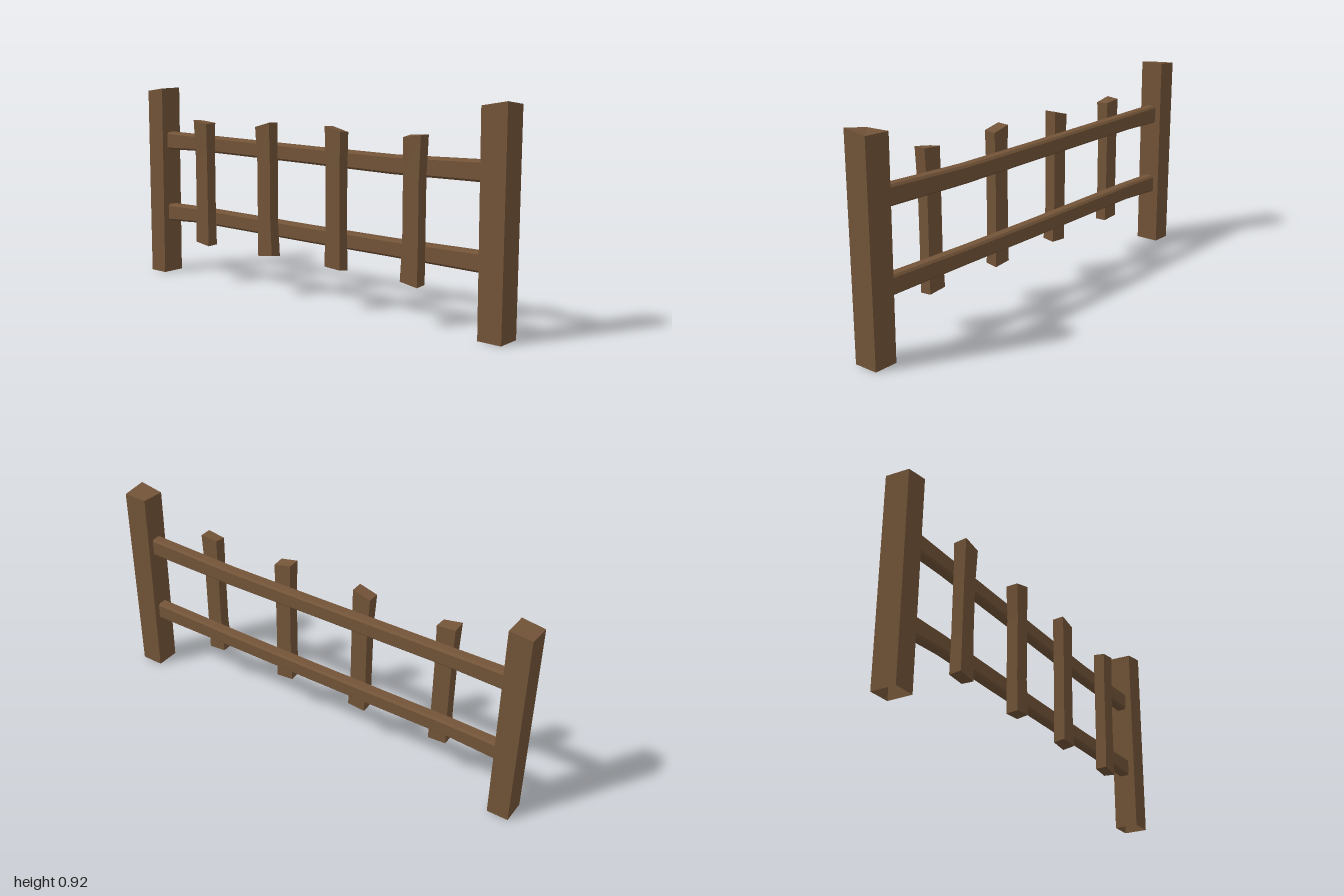
import * as THREE from 'three';

// Skin rings of points (counter-clockwise seen from the last ring), with optional end caps.
function loft(rings, capStart, capEnd) {
  const pos = [];
  const n = rings[0].length;
  const tri = (a, b, c) => pos.push(...a, ...b, ...c);
  for (let i = 0; i < rings.length - 1; i++) {
    for (let j = 0; j < n; j++) {
      const k = (j + 1) % n;
      tri(rings[i][j], rings[i][k], rings[i + 1][k]);
      tri(rings[i][j], rings[i + 1][k], rings[i + 1][j]);
    }
  }
  const first = rings[0], last = rings[rings.length - 1];
  for (let j = 1; j < n - 1; j++) {
    if (capStart) tri(first[0], first[j + 1], first[j]);
    if (capEnd) tri(last[0], last[j], last[j + 1]);
  }
  const g = new THREE.BufferGeometry();
  g.setAttribute('position', new THREE.Float32BufferAttribute(pos, 3));
  g.computeVertexNormals();
  return g;
}

// Four-cornered upright ring: heights are front-left, front-right, back-right, back-left.
const ring = (x0, x1, zf, zb, h) => [
  [x0, h[0], zf], [x1, h[1], zf], [x1, h[2], zb], [x0, h[3], zb],
];
const level = (y) => [y, y, y, y];

export function createModel() {
  const fence = new THREE.Group();
  fence.name = 'fence';
  const wood = new THREE.MeshStandardMaterial({ color: 0x735438 });
  wood.name = 'brownWood';
  wood.flatShading = true;
  wood.side = THREE.DoubleSide;

  const add = (name, geometry) => {
    const mesh = new THREE.Mesh(geometry, wood);
    mesh.name = name;
    fence.add(mesh);
  };

  // Posts: hollow underneath, with unevenly cut tops
  add('rightPost', loft([
    ring(-1, -0.905, 0.04, -0.07, level(0)),
    ring(-1, -0.9, 0.04, -0.07, [0.89, 0.904, 0.905, 0.897]),
  ], false, true));
  add('leftPost', loft([
    ring(0.895, 1, 0.04, -0.07, level(0)),
    ring(0.887, 1, 0.04, -0.07, [0.9, 0.92, 0.905, 0.903]),
  ], false, true));

  // Rails: slightly wavy beams with chamfered edges; stations are [x, bottom, top]
  const c = 0.009;
  const rail = (name, stations) => add(name, loft(stations.map(([x, y0, y1]) => {
    const zf = 0.01, zb = -0.043;
    return [
      [x, y0 + c, zb], [x, y1 - c, zb], [x, y1, zb + c], [x, y1, zf - c],
      [x, y1 - c, zf], [x, y0 + c, zf], [x, y0, zf - c], [x, y0, zb + c],
    ];
  }), true, true));
  rail('topRail', [
    [-0.92, 0.607, 0.692], [-0.68, 0.614, 0.689], [0, 0.608, 0.682],
    [0.45, 0.602, 0.679], [0.92, 0.608, 0.693],
  ]);
  rail('bottomRail', [
    [-0.92, 0.254, 0.337], [-0.68, 0.268, 0.341], [0, 0.262, 0.335],
    [0.45, 0.261, 0.334], [0.92, 0.257, 0.34],
  ]);

  // Pickets: rough boards with a narrower waist and slanted ends
  const pickets = [
    { x: -0.608, lean: 0, bottom: [0.19, 0.178, 0.18, 0.186], top: [0.768, 0.752, 0.755, 0.762], zTop: 0.067 },
    { x: -0.208, lean: -0.006, bottom: [0.178, 0.188, 0.18, 0.174], top: [0.757, 0.78, 0.778, 0.757], zTop: 0.063 },
    { x: 0.188, lean: 0, bottom: [0.186, 0.18, 0.172, 0.18], top: [0.783, 0.765, 0.76, 0.78], zTop: 0.062 },
    { x: 0.588, lean: 0.004, bottom: [0.182, 0.168, 0.172, 0.18], top: [0.763, 0.776, 0.775, 0.77], zTop: 0.063 },
  ];
  pickets.forEach(({ x, lean, bottom, top, zTop }, i) => {
    const zb = 0.009, w = 0.042, waist = 0.038;
    add('picket' + (i + 1), loft([
      ring(x - lean - w, x - lean + w, 0.062, zb, bottom),
      ring(x - waist, x + waist, 0.06, zb, level(0.34)),
      ring(x - waist, x + waist, 0.061, zb, level(0.6)),
      ring(x + lean - w, x + lean + w, zTop, zb, top),
    ], true, true));
  });

  return fence;
}
